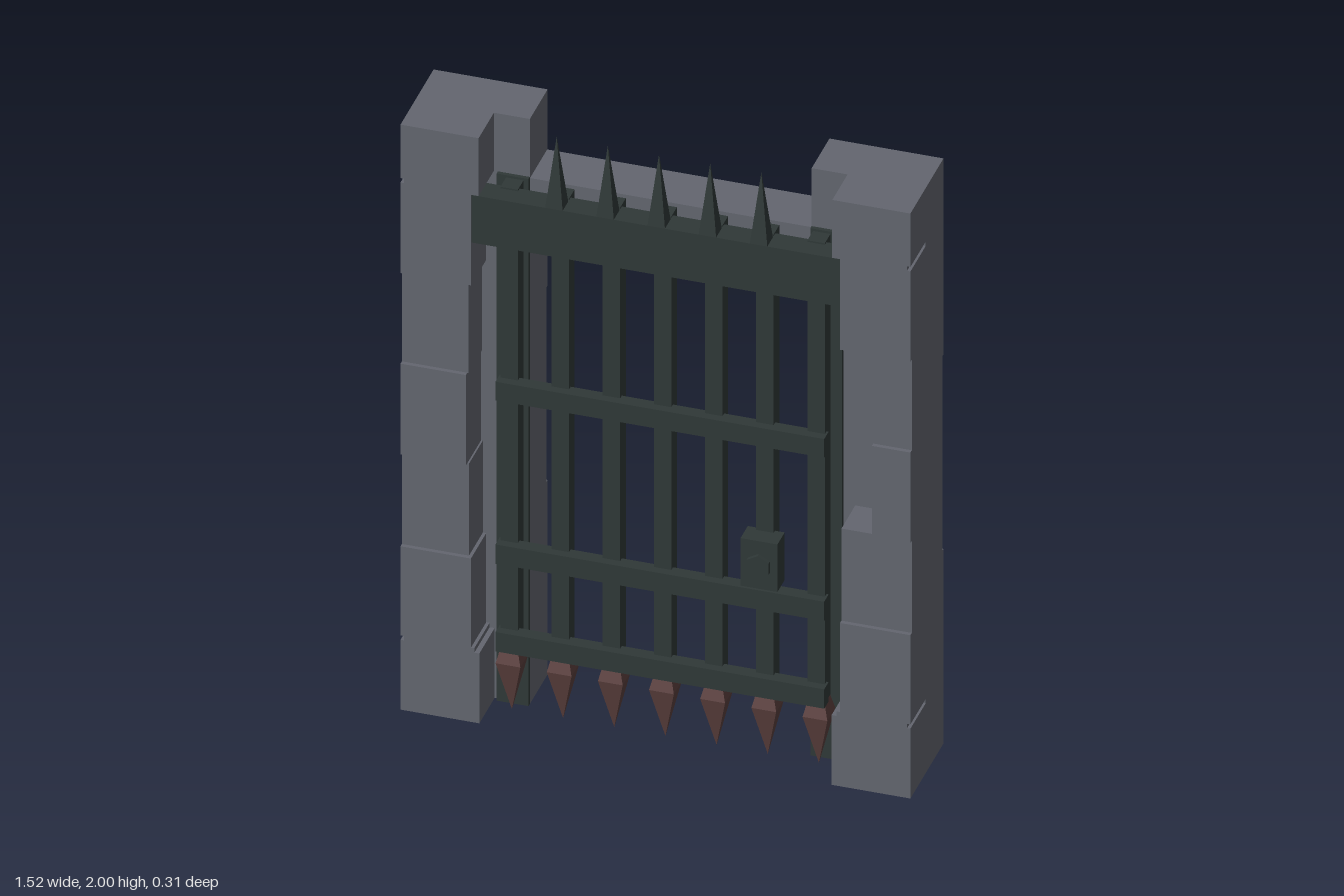
import * as THREE from 'three';

export function createModel() {
  const model = new THREE.Group();
  model.name = 'portcullisGate';
  const material = (name, color) => {
    const m = new THREE.MeshStandardMaterial({ color, flatShading: true });
    m.name = name;
    return m;
  };
  const stone = material('stone', 0x63666f);
  const iron = material('darkIron', 0x2f3837);
  const rust = material('rustedIron', 0x5c403e);

  const add = (parent, name, geometry, mat, x = 0, y = 0, z = 0) => {
    const mesh = new THREE.Mesh(geometry, mat);
    mesh.name = name;
    mesh.position.set(x, y, z);
    parent.add(mesh);
    return mesh;
  };
  // Box given by its limits on each axis
  const box = (parent, name, mat, x0, x1, y0, y1, z0, z1) =>
    add(parent, name, new THREE.BoxGeometry(Math.abs(x1 - x0), y1 - y0, z1 - z0), mat,
      (x0 + x1) / 2, (y0 + y1) / 2, (z0 + z1) / 2);
  // Square taper given by half widths at top and bottom
  const taper = (top, bottom, height) =>
    new THREE.CylinderGeometry(top * Math.SQRT2, bottom * Math.SQRT2, height, 4).rotateY(Math.PI / 4);

  // Stone pillars: back slabs and a stack of facing blocks
  for (const side of [-1, 1]) {
    const pillar = new THREE.Group();
    pillar.name = side > 0 ? 'leftPillar' : 'rightPillar';
    model.add(pillar);
    for (const [y0, y1, back] of [[0, 0.655, -0.152], [0.655, 1.31, -0.143], [1.31, 1.97, -0.152]])
      box(pillar, 'backBlock', stone, side * 0.42, side * 0.76, y0, y1, back, 0.012);

    // Bottom, top, inner edge, outer edge, front
    const middleInner = side > 0 ? 0.645 : 0.565;
    const blocks = [
      [0, 0.235, 0.525, 0.76, 0.153],
      [0.235, 0.25, 0.54, 0.75, 0.153],
      [0.25, 0.55, 0.55, 0.76, 0.153],
      [0.55, 0.86, side > 0 ? 0.55 : 0.56, 0.76, 0.14],
      [0.86, 1.165, middleInner, 0.76, 0.153],
      [1.165, 1.47, 0.562, 0.76, 0.14],
      [1.47, 1.775, 0.55, 0.76, 0.153],
      [1.775, 1.79, 0.527, 0.75, 0.153],
      [1.79, 1.97, 0.527, 0.76, 0.153],
    ];
    for (const [y0, y1, inner, outer, front] of blocks)
      box(pillar, 'facingBlock', stone, side * inner, side * outer, y0, y1, 0.012, front);

    // Iron guide plate behind the grille
    box(model, 'guidePlate', iron, side * 0.42, side * 0.515, 0, 1.775, 0.012, 0.024);
  }

  // Lintels
  box(model, 'stoneLintel', stone, -0.42, 0.42, 1.61, 1.77, -0.148, 0.01);
  box(model, 'ironLintel', iron, -0.55, 0.55, 1.61, 1.77, 0.072, 0.146);

  // Upright bars with rusted spearheads
  const grille = new THREE.Group();
  grille.name = 'grille';
  model.add(grille);
  for (let i = -3; i <= 3; i++) {
    const x = i * 0.1525;
    box(grille, 'uprightBar', iron, x - 0.026, x + 0.026, 0.225, 1.775, 0.035, 0.087);
    add(grille, 'spearheadCollar', taper(0.024, 0.037, 0.055), rust, x, 0.2025, 0.061);
    add(grille, 'spearheadPoint', taper(0.037, 0, 0.17), rust, x, 0.09, 0.061);
    if (Math.abs(i) < 3) add(grille, 'topSpike', taper(0, 0.026, 0.23), iron, x, 1.885, 0.12);
  }

  // Cross rails
  for (const [y0, y1] of [[0.225, 0.29], [0.52, 0.585], [1.07, 1.133]])
    box(grille, 'crossRail', iron, -0.49, 0.49, y0, y1, 0.072, 0.113);

  // Lock case with a hexagonal boss
  box(grille, 'lockCase', iron, 0.25, 0.36, 0.61, 0.77, 0.075, 0.142);
  add(grille, 'lockBoss', new THREE.CylinderGeometry(0.038, 0.038, 0.015, 6).rotateX(Math.PI / 2),
    iron, 0.305, 0.69, 0.148);

  return model;
}
